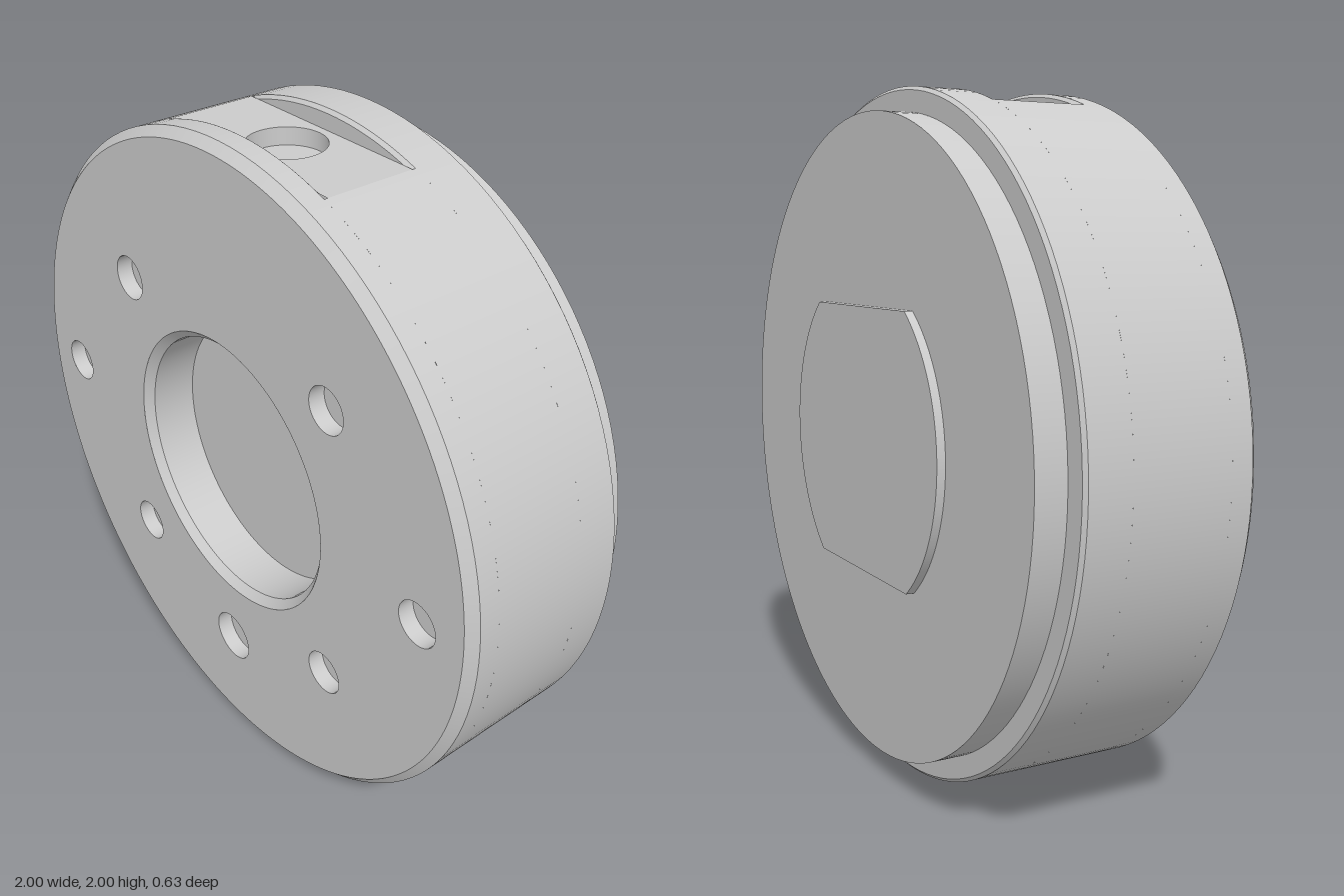
import * as THREE from 'three';
import { mergeGeometries } from 'three/addons/utils/BufferGeometryUtils.js';

const SEG = 128;
const material = new THREE.MeshStandardMaterial({ color: 0xcccccc, side: THREE.DoubleSide });

// Surface turned about z from [radius, z] points, with a sharp edge at every point
function turned(points, start = 0, length = Math.PI * 2) {
  const bands = [];
  for (let i = 0; i + 1 < points.length; i++) {
    const pair = [points[i], points[i + 1]].map(([r, z]) => new THREE.Vector2(r, z));
    bands.push(new THREE.LatheGeometry(pair, SEG, start, length));
  }
  return mergeGeometries(bands).rotateX(Math.PI / 2);
}

// Blind hole opening towards +z at z = 0
const blindHole = (r, depth) => turned([[r, 0], [r, -depth], [0, -depth]]);

function circlePath(x, y, r) {
  return new THREE.Path().absarc(x, y, r, 0, Math.PI * 2, true);
}

export function createModel() {
  const group = new THREE.Group();
  const disc = new THREE.Group();
  disc.name = 'disc';
  disc.position.y = 1;
  group.add(disc);

  const add = (name, geometry) => {
    const mesh = new THREE.Mesh(geometry, material);
    mesh.name = name;
    disc.add(mesh);
    return mesh;
  };

  // Rim either side of the pocket, with the stepped back
  const zBack = -0.055, zFront = 0.215, bevel = 0.01, flatY = 0.944;
  const halfAngle = Math.acos(flatY);
  add('backRim', turned([[0, -0.29], [0.93, -0.29], [0.93, -0.2], [0.99, -0.2], [1, -0.19], [1, zBack - bevel]]));
  add('frontRim', turned([[1, zFront + bevel], [1, 0.288], [0.973, 0.315]]));
  add('middleRim', turned([[1, zBack - bevel], [1, zFront + bevel]],
    Math.PI + halfAngle, 2 * (Math.PI - halfAngle)));

  // Front face with bolt holes and central bore
  const holes = [[0, -0.64, 0.08], [0.81, 0, 0.067], [-0.81, 0, 0.067]];
  for (const sx of [-1, 1]) for (const sy of [-1, 1]) holes.push([sx * 0.45, sy * 0.45, 0.067]);
  const face = new THREE.Shape().absarc(0, 0, 0.973, 0, Math.PI * 2);
  face.holes.push(circlePath(0, 0, 0.432));
  for (const [x, y, r] of holes) {
    face.holes.push(circlePath(x, y, r));
    add('boltHole', blindHole(r, 0.05)).position.set(x, y, 0.315);
  }
  add('frontFace', new THREE.ShapeGeometry(face, SEG).translate(0, 0, 0.315));
  add('centralBore', turned([[0.432, 0.315], [0.408, 0.29], [0.408, 0.15], [0, 0.15]]));

  // Flat pocket cut across the top, with a round recess in its floor
  const halfWidth = Math.sin(halfAngle), halfDepth = (zFront - zBack) / 2, zMid = (zFront + zBack) / 2;
  const floor = new THREE.Shape([
    new THREE.Vector2(-halfWidth, -halfDepth), new THREE.Vector2(halfWidth, -halfDepth),
    new THREE.Vector2(halfWidth, halfDepth), new THREE.Vector2(-halfWidth, halfDepth)
  ]);
  floor.holes.push(circlePath(0, 0, 0.11));
  add('pocketFloor', new THREE.ShapeGeometry(floor, SEG).rotateX(-Math.PI / 2).translate(0, flatY, zMid));
  add('pocketRecess', blindHole(0.11, 0.05).rotateX(-Math.PI / 2).translate(0, flatY, zMid));

  const b = Math.acos(flatY / (1 - bevel));
  const wall = new THREE.Shape().absarc(0, 0, 1 - bevel, Math.PI / 2 - b, Math.PI / 2 + b);
  add('pocketBackWall', new THREE.ShapeGeometry(wall, 48).translate(0, 0, zBack));
  add('pocketFrontWall', new THREE.ShapeGeometry(wall, 48).rotateY(Math.PI).translate(0, 0, zFront));
  const arc = [Math.PI - halfAngle, 2 * halfAngle];
  add('pocketBackBevel', turned([[1, zBack - bevel], [1 - bevel, zBack]], ...arc));
  add('pocketFrontBevel', turned([[1 - bevel, zFront], [1, zFront + bevel]], ...arc));

  // Round boss on the back with two flats
  const a = Math.asin(0.387 / 0.49);
  const boss = new THREE.Shape();
  boss.absarc(0, 0, 0.49, -a, a);
  boss.absarc(0, 0, 0.49, Math.PI - a, Math.PI + a);
  boss.closePath();
  add('backBoss', new THREE.ExtrudeGeometry(boss, { depth: 0.03, bevelEnabled: false, curveSegments: 48 })
    .translate(0, 0, -0.315));

  return group;
}
